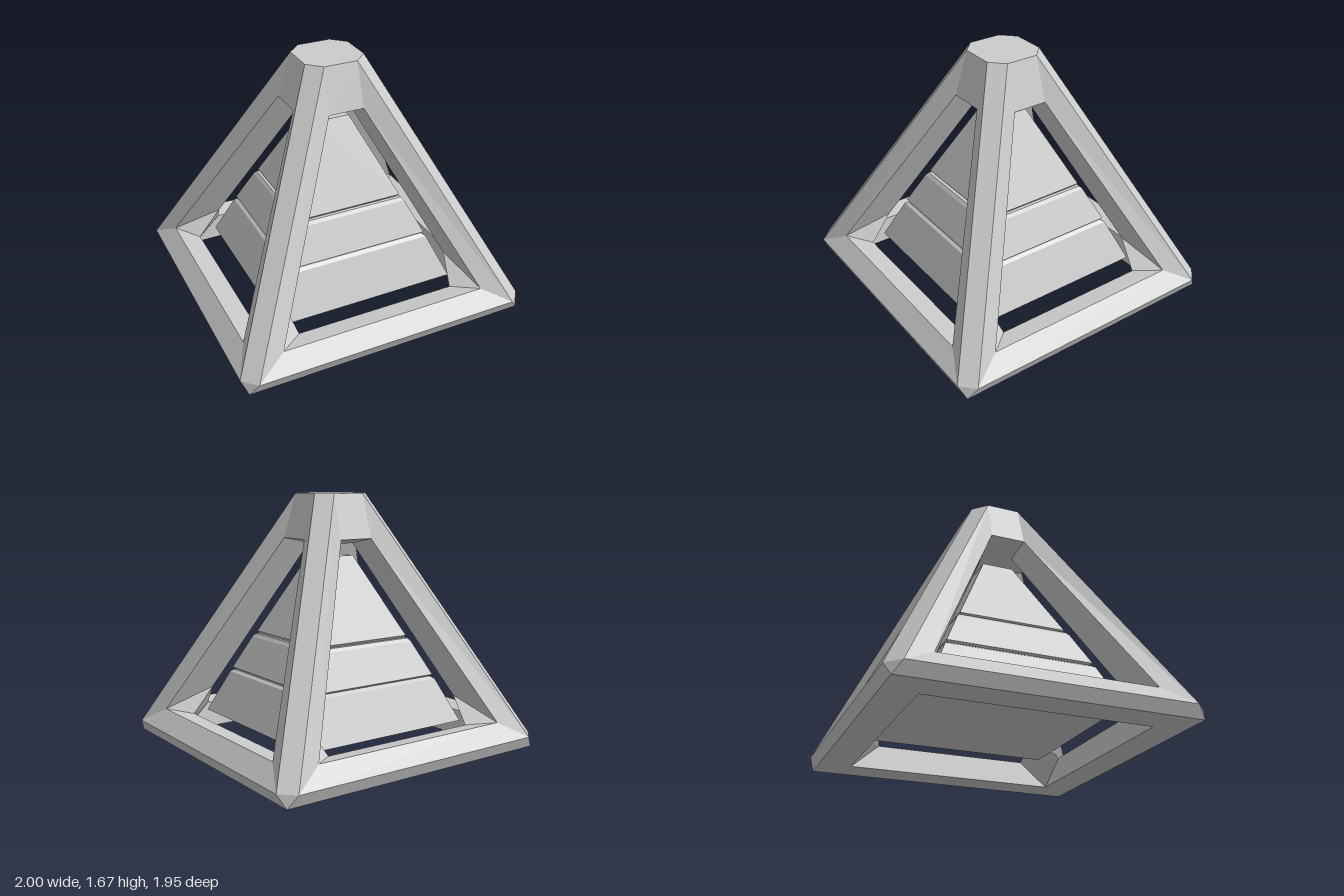
import * as THREE from 'three';
import { mergeGeometries } from 'three/addons/utils/BufferGeometryUtils.js';

const material = new THREE.MeshStandardMaterial({ color: 0xcccccc, flatShading: true });

// Flat polygons, corners counter-clockwise seen from outside
function facesGeometry(polygons) {
  const positions = [];
  for (const p of polygons)
    for (let i = 1; i < p.length - 1; i++) positions.push(...p[0], ...p[i], ...p[i + 1]);
  const geometry = new THREE.BufferGeometry();
  geometry.setAttribute('position', new THREE.Float32BufferAttribute(positions, 3));
  return geometry;
}

const mirror = ([x, y, z]) => [-x, y, z]; // left-right twin
const swap = ([x, y, z]) => [z, y, x];    // twin across the corner diagonal

// Key points of one side of the frame, right half
const outer = [0.91, 0.08, 1];
const base = [0.965, 0, 0.965];
const top = [0.113, 1.67, 0.203];
const openLow = [0.71, 0.19, 0.9];
const openHigh = [0.12, 1.38, 0.29];
const lip = [0.55, 0.17, 0.765];
const baseInner = [0.745, 0, 0.745];
const strutLow = [0.595, 0.33, 0.595];
const strutHigh = [0.105, 1.34, 0.105];

// Band between two left-right symmetric edges
const band = (a, b) => [mirror(a), a, b, mirror(b)];
// A polygon plus its mirrored twin
const pair = (...p) => [p, p.map(mirror).reverse()];

function createFrame() {
  const side = facesGeometry([
    // base beam
    band(base, outer),
    band(outer, openLow),
    band(openLow, lip),
    band(lip, baseInner),
    band(baseInner, base),
    // strut face, opening reveal and foot gusset
    ...pair(outer, top, openHigh, openLow),
    ...pair(openLow, openHigh, strutHigh, strutLow),
    ...pair(openLow, strutLow, lip),
    // cap
    band(openHigh, top),
    band(strutHigh, openHigh),
    [[0, 1.67, 0], mirror(top), top],
    [[0, 1.67, 0], top, swap(top)],
    [[0, 1.34, 0], strutHigh, mirror(strutHigh)],
    // corner ridge and inner corner
    [base, swap(outer), outer],
    [outer, swap(outer), swap(top), top],
    [lip, strutLow, swap(lip)],
    [lip, swap(lip), baseInner],
  ]);
  const sides = [0, 1, 2, 3].map((i) => side.clone().rotateY((i * Math.PI) / 2));
  const geometry = mergeGeometries(sides).scale(1, 1, 0.976);
  geometry.computeVertexNormals();
  const mesh = new THREE.Mesh(geometry, material);
  mesh.name = 'outerFrame';
  return mesh;
}

// Square tiered core with narrow grooves between its tiers
function createCore() {
  const profile = [
    [0, 0.16], [0.62, 0.16], [0.5, 0.44], [0.48, 0.455], [0.465, 0.455],
    [0.487, 0.47], [0.385, 0.69], [0.368, 0.712], [0.345, 0.712],
    [0.36, 0.73], [0.105, 1.26], [0, 1.26],
  ].map(([half, y]) => new THREE.Vector2(half * Math.SQRT2, y));
  const geometry = new THREE.LatheGeometry(profile, 4, Math.PI / 4).toNonIndexed();
  geometry.computeVertexNormals();
  const mesh = new THREE.Mesh(geometry, material);
  mesh.name = 'tieredCore';
  return mesh;
}

export function createModel() {
  const model = new THREE.Group();
  model.name = 'framedPyramid';
  model.add(createFrame(), createCore());
  return model;
}
